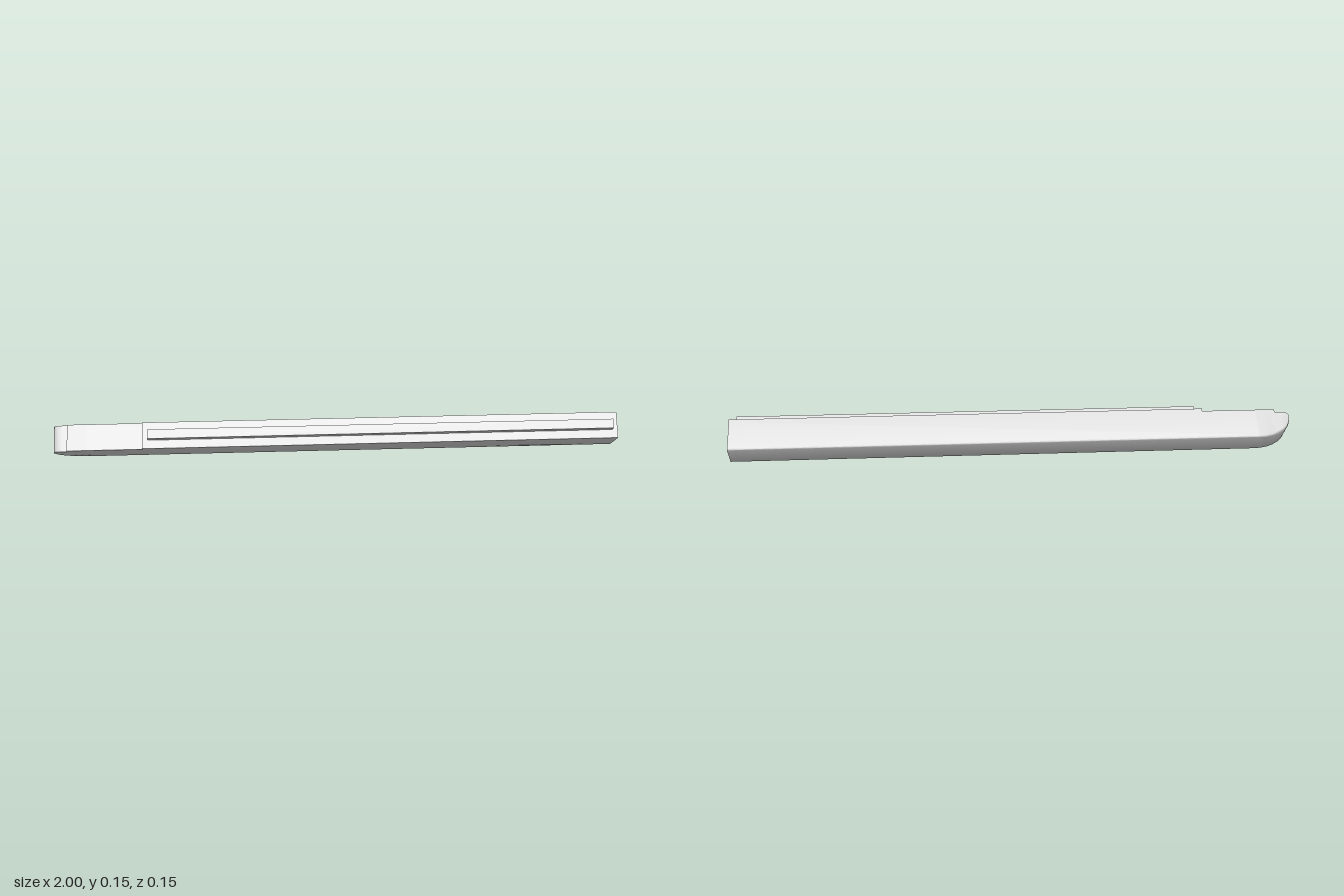
import * as THREE from 'three';
import { toCreasedNormals } from 'three/addons/utils/BufferGeometryUtils.js';

const BACK = -0.099, FRONT = -0.005; // width of the bar before it is tilted
const BOTTOM = -0.0127, TOP = 0.099;

// Cross-section at x: square top corners, rounded bottom corners
function section(x, bottom, top) {
  const r = Math.min(0.009, (top - bottom) * 0.45), n = 5;
  const ring = [[x, top, BACK], [x, top, FRONT]];
  for (const [z, start] of [[FRONT - r, 0], [BACK + r, Math.PI / 2]]) {
    for (let i = 0; i <= n; i++) {
      const a = start + (i / n) * Math.PI / 2;
      ring.push([x, bottom + r - r * Math.sin(a), z + r * Math.cos(a)]);
    }
  }
  return ring;
}

// Skin a row of sections and close both ends
function loft(rings) {
  const pos = [];
  const tri = (...pts) => pts.forEach((p) => pos.push(...p));
  const m = rings[0].length;
  for (let i = 0; i < rings.length - 1; i++) {
    for (let j = 0; j < m; j++) {
      const k = (j + 1) % m, A = rings[i], B = rings[i + 1];
      tri(A[j], A[k], B[k]);
      tri(A[j], B[k], B[j]);
    }
  }
  const first = rings[0], last = rings[rings.length - 1];
  for (let j = 1; j < m - 1; j++) {
    tri(first[0], first[j + 1], first[j]);
    tri(last[0], last[j], last[j + 1]);
  }
  const geo = new THREE.BufferGeometry();
  geo.setAttribute('position', new THREE.Float32BufferAttribute(pos, 3));
  return toCreasedNormals(geo, 0.6);
}

// Underside sweeps up to the nose in a quarter ellipse
function underside(x) {
  const t = Math.max(0, (-0.88 - x) / 0.12);
  return BOTTOM + 0.074 * (1 - Math.sqrt(Math.max(0, 1 - t * t)));
}

export function createModel() {
  const model = new THREE.Group();
  model.name = 'tiltedBar';
  const bar = new THREE.Group();
  bar.name = 'bar';
  bar.rotation.x = Math.PI / 4;
  model.add(bar);
  const material = new THREE.MeshStandardMaterial({ color: 0xcccccc });
  const add = (name, geo) => {
    const mesh = new THREE.Mesh(geo, material);
    mesh.name = name;
    bar.add(mesh);
  };
  const box = (name, x0, x1, y0, y1, z0, z1) => {
    const geo = new THREE.BoxGeometry(x1 - x0, y1 - y0, z1 - z0);
    geo.translate((x0 + x1) / 2, (y0 + y1) / 2, (z0 + z1) / 2);
    add(name, geo);
  };

  // Body with a stepped-down, rounded nose
  const rings = [];
  for (const [x, top] of [[-1, 0.072], [-0.998, 0.078], [-0.993, 0.083], [-0.985, 0.086],
    [-0.97, 0.087], [-0.95, 0.087], [-0.95, TOP], [-0.93, TOP], [-0.905, TOP], [-0.88, TOP], [1, TOP]]) {
    rings.push(section(x, underside(x), top));
  }
  add('body', loft(rings));

  // Cover plate with the raised rail along its middle
  box('coverPlate', -0.685, 1, TOP, 0.109, BACK, FRONT);
  box('rail', -0.665, 0.98, 0.109, 0.137, -0.068, -0.035);
  return model;
}
